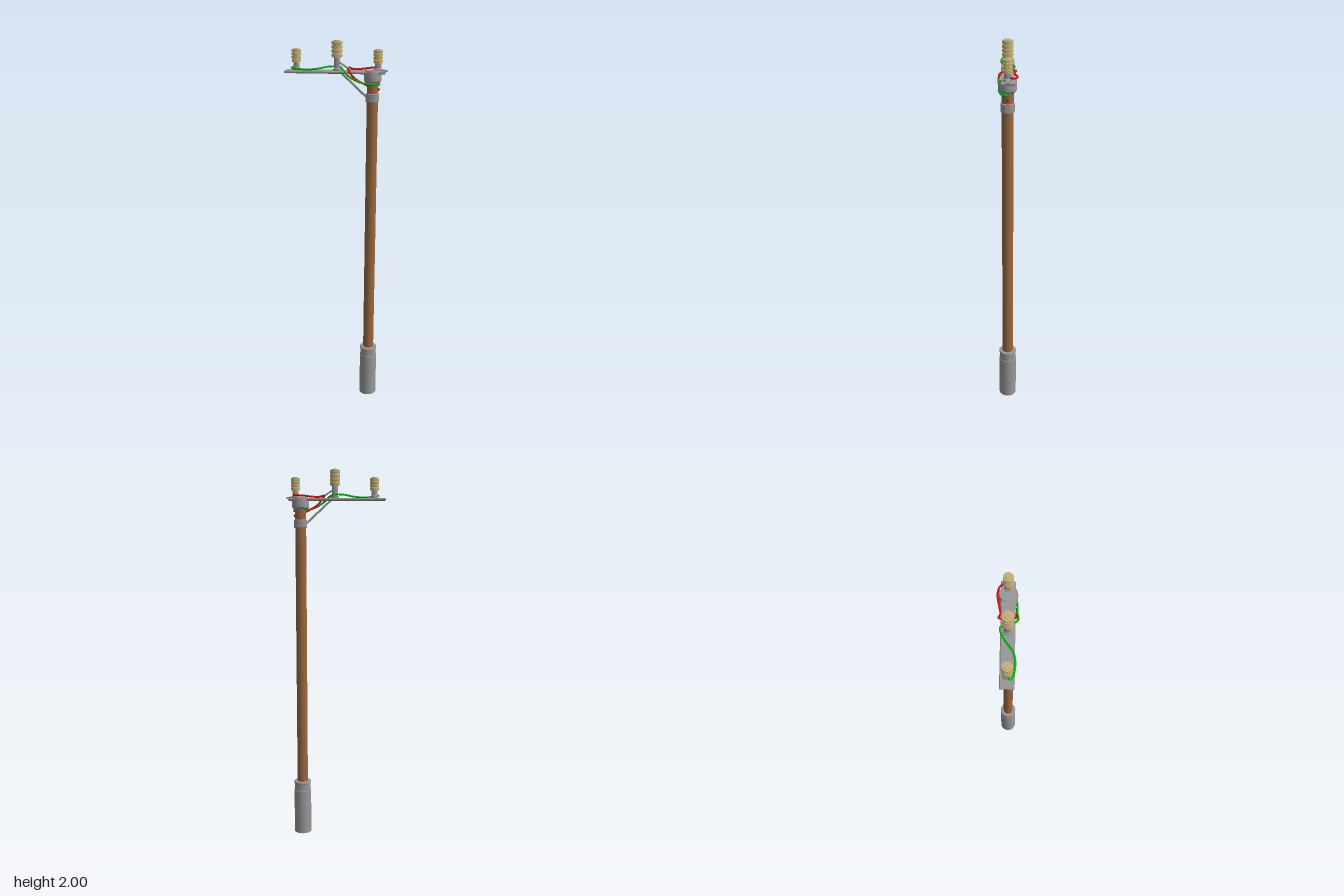
import * as THREE from 'three';
import { toCreasedNormals } from 'three/addons/utils/BufferGeometryUtils.js';

const mat = (name, color) => Object.assign(new THREE.MeshStandardMaterial({ color }), { name });

export function createModel() {
  const root = new THREE.Group();
  root.name = 'utilityPole';
  const metal = mat('grey metal', 0x989898);
  const wood = mat('brown wood', 0x98683f);
  const ceramic = mat('tan ceramic', 0xc4b078);
  const green = mat('green wire', 0x08b812);
  const red = mat('red wire', 0xe01010);
  const poleX = 0.187;

  const add = (name, geometry, material, x = 0, y = 0, z = 0, parent = root) => {
    const mesh = new THREE.Mesh(geometry, material);
    mesh.name = name;
    mesh.position.set(x, y, z);
    parent.add(mesh);
    return mesh;
  };
  // Turned part from [radius, height] pairs, bottom to top
  const turned = (pts, sides = 24) => toCreasedNormals(
    new THREE.LatheGeometry(pts.map(([r, y]) => new THREE.Vector2(r, y)), sides), 0.4);
  // Flat bar between two points in the x-y plane
  const bar = (name, [x1, y1], [x2, y2], thick, width, parent = root) => {
    const len = Math.hypot(x2 - x1, y2 - y1);
    const mesh = add(name, new THREE.BoxGeometry(len, thick, width), metal,
      (x1 + x2) / 2, (y1 + y2) / 2, 0, parent);
    mesh.rotation.z = Math.atan2(y2 - y1, x2 - x1);
    return mesh;
  };

  // Pole with its metal foot, collar and head
  add('pole', new THREE.CylinderGeometry(0.029, 0.029, 1.6, 24), wood, poleX, 1.03);
  add('foot', turned([[0, 0], [0.047, 0], [0.047, 0.244], [0.0445, 0.247], [0.0445, 0.284],
    [0.047, 0.286], [0.047, 0.294], [0.045, 0.297], [0, 0.297]]), metal, poleX);
  add('collar', turned([[0.028, 1.695], [0.0345, 1.697], [0.0345, 1.738], [0.028, 1.741]]),
    metal, poleX);
  add('head', turned([[0, 1.79], [0.034, 1.79], [0.044, 1.802], [0.044, 1.846],
    [0.041, 1.855], [0, 1.856]]), metal, poleX);

  // Crossarm: a plate with chamfered edges
  const b = 0.004, hx = 0.257 - b, hz = 0.033 - b;
  const plate = new THREE.Shape([[-hx, -hz], [hx, -hz], [hx, hz], [-hx, hz]]
    .map(([x, z]) => new THREE.Vector2(x, z)));
  const armGeo = new THREE.ExtrudeGeometry(plate, {
    depth: 0.006, bevelEnabled: true, bevelThickness: b, bevelSize: b, bevelSegments: 1 });
  armGeo.rotateX(-Math.PI / 2);
  add('crossarm', armGeo, metal, -0.005, 1.841);
  bar('strut', [0.02, 1.846], [0.165, 1.712], 0.01, 0.016);

  // Insulators: post, sloping tab and ribbed body with a small cap
  const insulator = (x, postTop, top, r, tabX, tabY) => {
    const g = new THREE.Group();
    g.name = 'insulator';
    root.add(g);
    add('post', turned([[0.021, 1.848], [0.021, 1.86], [0.016, 1.864], [0.016, postTop], [0, postTop]], 16),
      metal, x, 0, 0, g);
    bar('tab', [x, tabY], [tabX, 1.851], 0.007, 0.021, g);
    const ribs = 4, cap = 0.004, h = top - postTop, step = (h - cap) / ribs, core = r * 0.84;
    const pts = [[0, 0]];
    for (let i = 0; i < ribs; i++) {
      const y = i * step;
      pts.push([core, y], [core, y + step * 0.22], [r, y + step * 0.28], [r, y + step * 0.94],
        [i === ribs - 1 ? r * 0.62 : core, y + step]);
    }
    pts.push([r * 0.58, h], [0, h]);
    add('ribbedBody', turned(pts, 20), ceramic, x, postTop, 0, g);
  };
  insulator(-0.203, 1.89, 1.958, 0.024, -0.168, 1.86);
  insulator(0.005, 1.915, 2.0, 0.027, 0.078, 1.9);
  insulator(0.213, 1.89, 1.958, 0.024, 0.262, 1.86);

  // Wires
  const wire = (name, material, pts) => {
    const curve = new THREE.CatmullRomCurve3(pts.map(p => new THREE.Vector3(...p)));
    add(name, new THREE.TubeGeometry(curve, 90, 0.005, 8), material);
  };
  wire('greenWire', green, [
    [-0.205, 1.866, 0.0], [-0.226, 1.864, 0.013], [-0.208, 1.861, 0.026], [-0.15, 1.857, 0.034],
    [-0.1, 1.86, 0.026], [-0.04, 1.868, -0.015], [0, 1.868, -0.033], [0.018, 1.865, -0.031],
    [0.036, 1.857, 0.015], [0.07, 1.828, 0.044], [0.12, 1.8, 0.041], [0.18, 1.789, 0.039],
    [0.215, 1.787, 0.027], [0.223, 1.786, 0.008], [0.212, 1.785, -0.003]]);
  wire('redWire', red, [
    [0.215, 1.868, -0.005], [0.224, 1.866, -0.025], [0.212, 1.864, -0.039], [0.175, 1.862, -0.047],
    [0.12, 1.856, -0.038], [0.085, 1.856, -0.033], [0.063, 1.862, -0.041], [0.06, 1.861, -0.02],
    [0.064, 1.858, 0.02], [0.075, 1.845, 0.041], [0.098, 1.818, 0.036], [0.15, 1.785, 0.018],
    [0.19, 1.765, 0.004], [0.218, 1.76, 0]]);
  add('wireOutlet', new THREE.SphereGeometry(0.008, 10, 8), red, 0.216, 1.76, 0);

  return root;
}
